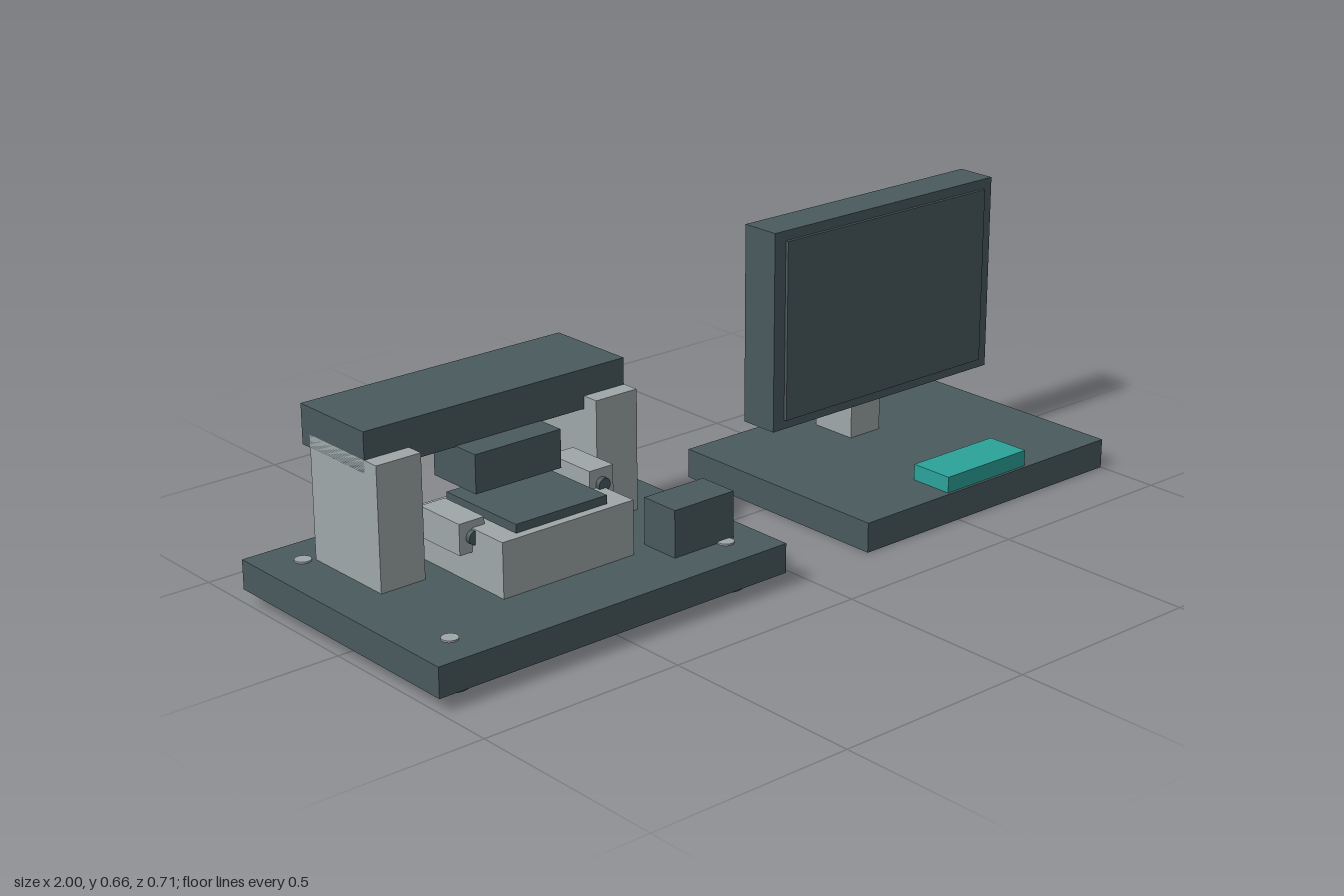
import * as THREE from 'three';

const material = (name, color) => {
  const m = new THREE.MeshStandardMaterial({ color });
  m.name = name;
  return m;
};

export function createModel() {
  const dark = material('dark slate', 0x4a5a5d);
  const light = material('light grey', 0x9fa7a9);
  const teal = material('teal', 0x2ba39a);

  const model = new THREE.Group();
  model.name = 'benchMachineWithMonitor';

  // Box given by its extents along each axis
  const box = (parent, name, mat, [x0, x1], [y0, y1], [z0, z1]) => {
    const mesh = new THREE.Mesh(new THREE.BoxGeometry(x1 - x0, y1 - y0, z1 - z0), mat);
    mesh.position.set((x0 + x1) / 2, (y0 + y1) / 2, (z0 + z1) / 2);
    mesh.name = name;
    parent.add(mesh);
    return mesh;
  };
  const cylinder = (parent, name, mat, r, h, x, y, z) => {
    const mesh = new THREE.Mesh(new THREE.CylinderGeometry(r, r, h, 24), mat);
    mesh.position.set(x, y, z);
    mesh.name = name;
    parent.add(mesh);
    return mesh;
  };

  // ---- Bench machine ----
  const machine = new THREE.Group();
  machine.name = 'machine';
  model.add(machine);

  box(machine, 'machineBase', dark, [-1, -0.06], [0.032, 0.102], [-0.355, 0.355]);

  // Feet below and bolt heads above, at each corner
  for (const x of [-0.904, -0.156]) {
    for (const z of [-0.264, 0.264]) {
      cylinder(machine, 'foot', dark, 0.042, 0.034, x, 0.017, z);
      cylinder(machine, 'boltHead', light, 0.019, 0.006, x, 0.103, z);
    }
  }

  // Gantry: two pillars and a beam
  box(machine, 'rightPillar', light, [-0.88, -0.766], [0.102, 0.39], [-0.25, -0.008]);
  box(machine, 'leftPillar', light, [-0.294, -0.178], [0.102, 0.39], [-0.25, -0.008]);
  box(machine, 'beam', dark, [-0.88, -0.18], [0.36, 0.453], [-0.279, -0.05]);
  box(machine, 'toolHead', dark, [-0.646, -0.415], [0.272, 0.362], [-0.13, 0.018]);

  // Connector rods hanging at the back of the beam
  for (let i = 0; i < 3; i++) {
    const x = -0.73 - i * 0.055;
    box(machine, 'connectorRod', dark, [x - 0.011, x + 0.011], [0.263, 0.362], [-0.257, -0.235]);
  }

  // Work bed with its plate
  box(machine, 'workBed', light, [-0.704, -0.35], [0.102, 0.23], [-0.1, 0.183]);
  box(machine, 'workPlate', dark, [-0.652, -0.406], [0.228, 0.25], [-0.08, 0.162]);

  // Side clamps with round knobs
  for (const [x, y] of [[-0.704, 0.211], [-0.352, 0.237]]) {
    box(machine, 'clamp', light, [x - 0.033, x + 0.033], [y - 0.036, y + 0.036], [-0.06, 0.078]);
    cylinder(machine, 'clampKnob', dark, 0.016, 0.016, x, y, 0.082).rotation.x = Math.PI / 2;
  }

  box(machine, 'controlBox', dark, [-0.296, -0.126], [0.102, 0.213], [0.155, 0.256]);

  // ---- Monitor station ----
  const monitor = new THREE.Group();
  monitor.name = 'monitor';
  model.add(monitor);

  box(monitor, 'monitorBase', dark, [0.205, 1], [0, 0.072], [-0.272, 0.342]);
  box(monitor, 'stand', light, [0.55, 0.646], [0.072, 0.472], [-0.19, -0.068]);
  box(monitor, 'screenHousing', dark, [0.24, 0.957], [0.18, 0.664], [-0.112, -0.012]);
  box(monitor, 'screenPanel', dark, [0.274, 0.927], [0.203, 0.64], [-0.012, -0.004]);
  box(monitor, 'controlPad', teal, [0.47, 0.73], [0.072, 0.111], [0.225, 0.335]);

  return model;
}
